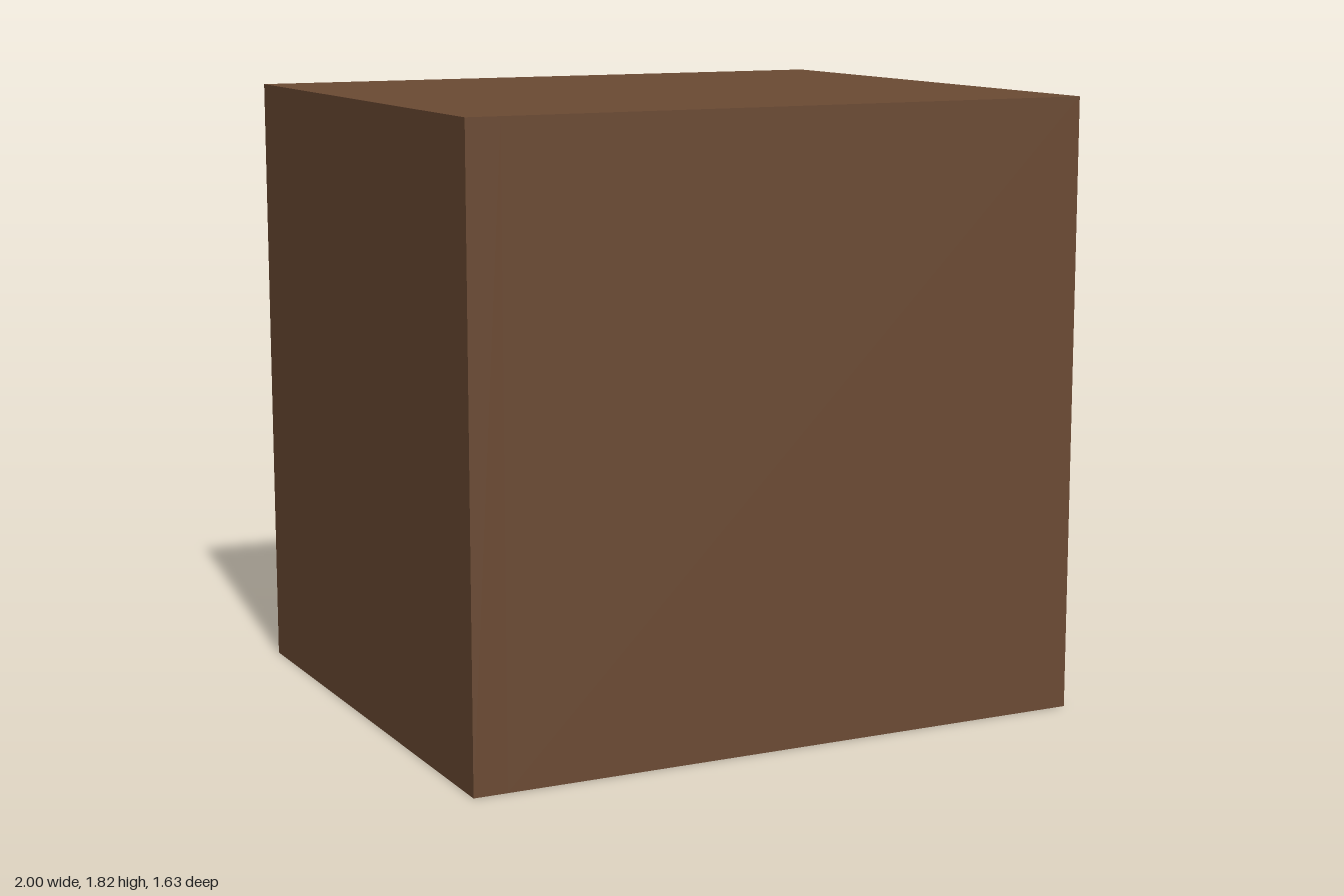
import * as THREE from 'three';

export function createModel() {
  const wood = new THREE.MeshStandardMaterial({ color: 0x6b4a33 });
  wood.name = 'brown wood';
  const brass = new THREE.MeshStandardMaterial({ color: 0xc49a38 });
  brass.name = 'brass';

  const model = new THREE.Group();
  model.name = 'bedsideCabinet';
  const add = (name, geometry, material, x, y, z = 0) => {
    const mesh = new THREE.Mesh(geometry, material);
    mesh.name = name;
    mesh.position.set(x, y, z);
    model.add(mesh);
  };

  const back = -1, front = 0.91, halfWidth = 0.815, height = 1.82;
  const panel = 0.1;

  // Hollow case, open towards +x
  const outline = new THREE.Shape([
    [-halfWidth, 0], [halfWidth, 0], [halfWidth, height], [-halfWidth, height],
  ].map(p => new THREE.Vector2(...p)));
  outline.holes.push(new THREE.Path([
    [-0.71, 0.125], [-0.71, 1.7], [0.71, 1.7], [0.71, 0.125],
  ].map(p => new THREE.Vector2(...p))));
  const shell = new THREE.ExtrudeGeometry(outline, { depth: front - back - panel, bevelEnabled: false });
  shell.rotateY(Math.PI / 2);
  add('case', shell, wood, back + panel, 0);
  add('backPanel', new THREE.BoxGeometry(panel, height, halfWidth * 2), wood, back + panel / 2, height / 2);

  // Six-sided knob: straight band with a shallow point above and below.
  // Doubled profile points keep the rims sharp.
  const profile = [
    [0, -0.068], [0.067, -0.04], [0.067, -0.04],
    [0.067, 0.04], [0.067, 0.04], [0, 0.068],
  ].map(p => new THREE.Vector2(...p));
  const knob = new THREE.LatheGeometry(profile, 6);
  knob.normalizeNormals();

  // Drawers flush with the case, separated by narrow gaps
  const drawers = [['bottom', 0.135, 0.645], ['middle', 0.656, 1.163], ['top', 1.177, 1.69]];
  const depth = 1.7;
  drawers.forEach(([name, low, high], i) => {
    add(name + 'Drawer', new THREE.BoxGeometry(depth, high - low, 1.4), wood, front - depth / 2, (low + high) / 2);
    add(name + 'Knob', knob, brass, 0.941, 0.39 + i * 0.5225);
  });

  return model;
}
